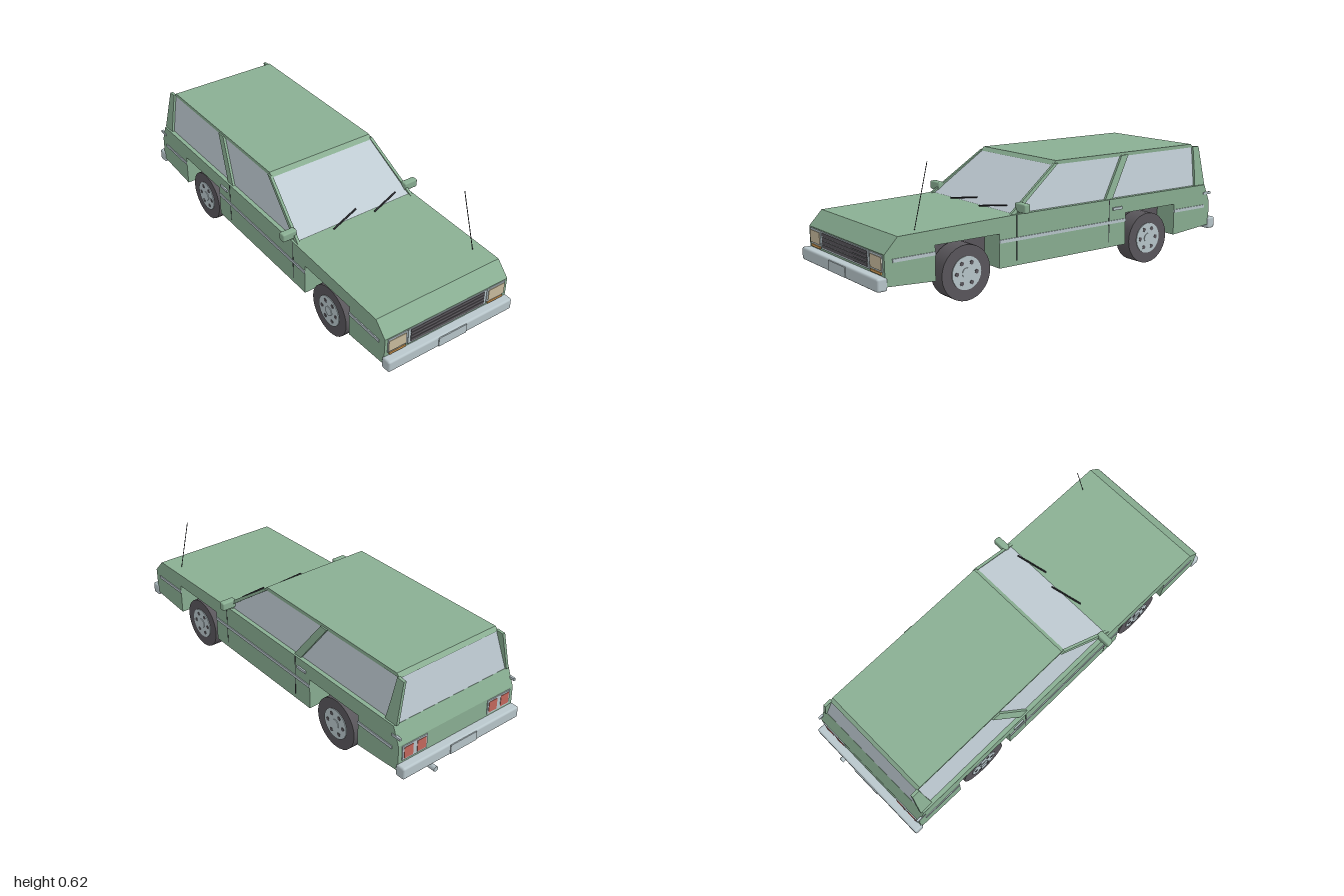
import * as THREE from 'three';
import { RoundedBoxGeometry } from 'three/addons/geometries/RoundedBoxGeometry.js';

const mat = (name, color) => {
  const m = new THREE.MeshStandardMaterial({ color });
  m.name = name;
  return m;
};

export function createModel() {
  const car = new THREE.Group();
  car.name = 'stationWagon';
  const green = mat('green paint', 0x8aaf93);
  const glass = mat('window glass', 0xc0ccd4);
  const chrome = mat('chrome', 0xb9c7cc);
  const dark = mat('dark rubber', 0x5a575c);
  const black = mat('black trim', 0x303035);
  const cream = mat('headlight lens', 0xcbbd9f);
  const amber = mat('indicator amber', 0xcf9a55);
  const red = mat('tail light red', 0xc4685e);

  const add = (name, geo, material, x = 0, y = 0, z = 0, parent = car) => {
    const m = new THREE.Mesh(geo, material);
    m.name = name;
    m.position.set(x, y, z);
    parent.add(m);
    return m;
  };
  const box = (name, material, w, h, d, x, y, z, parent) =>
    add(name, new THREE.BoxGeometry(w, h, d), material, x, y, z, parent);
  // side profile given as [z, y] points, extruded over the width and centred on x = 0
  const profile = (pts, width) => {
    const g = new THREE.ExtrudeGeometry(
      new THREE.Shape(pts.map(p => new THREE.Vector2(...p))), { depth: width, bevelEnabled: false });
    return g.translate(0, 0, -width / 2).rotateY(-Math.PI / 2);
  };
  // thin rod between two points
  const rod = (name, material, a, b, r) => {
    const va = new THREE.Vector3(...a), vb = new THREE.Vector3(...b);
    const dir = vb.clone().sub(va);
    const mid = va.add(vb).multiplyScalar(0.5);
    const m = add(name, new THREE.CylinderGeometry(r, r, dir.length(), 6), material, mid.x, mid.y, mid.z);
    m.quaternion.setFromUnitVectors(new THREE.Vector3(0, 1, 0), dir.normalize());
  };

  // lower body with square wheel notches
  add('body', profile([
    [0.955, 0.135], [0.957, 0.27], [0.893, 0.337], [0.30, 0.35], [-0.907, 0.35],
    [-0.942, 0.265], [-0.945, 0.14], [-0.69, 0.12], [-0.69, 0.275], [-0.36, 0.275],
    [-0.36, 0.12], [0.385, 0.12], [0.385, 0.275], [0.715, 0.275], [0.715, 0.12],
  ], 0.68), green);
  for (const z of [0.55, -0.525])
    box('wheelWell', dark, 0.45, 0.154, 0.329, 0, 0.199, z);

  // glass cabin tapering towards the roof
  const cabin = new THREE.BoxGeometry(1, 1, 1);
  const cp = cabin.attributes.position;
  for (let i = 0; i < cp.count; i++) {
    const top = cp.getY(i) > 0, front = cp.getZ(i) > 0;
    cp.setXYZ(i, Math.sign(cp.getX(i)) * (top ? 0.281 : 0.32), top ? 0.542 : 0.345,
      front ? (top ? 0.035 : 0.305) : (top ? -0.868 : -0.907));
  }
  cabin.computeVertexNormals();
  add('windows', cabin, glass);
  add('roof', profile([[0.045, 0.539], [0.025, 0.557], [-0.855, 0.557], [-0.872, 0.54]], 0.57), green);

  // pillars follow the lean of the side windows
  const pillars = {
    frontPillar: [[0.325, 0.345], [0.04, 0.545], [0.018, 0.545], [0.295, 0.345]],
    middlePillar: [[-0.235, 0.345], [-0.28, 0.345], [-0.418, 0.545], [-0.375, 0.545]],
    rearPillar: [[-0.845, 0.345], [-0.915, 0.35], [-0.905, 0.542], [-0.865, 0.545], [-0.855, 0.43]],
  };
  for (const side of [1, -1]) {
    for (const [name, pts] of Object.entries(pillars)) {
      const g = profile(pts, 0.014);
      const p = g.attributes.position;
      for (let i = 0; i < p.count; i++)
        p.setX(i, p.getX(i) + side * (0.325 - (p.getY(i) - 0.345) * 0.2));
      g.computeVertexNormals();
      add(name, g, green);
    }

    // side trim, door seams and handles
    for (const [a, b] of [[0.92, 0.715], [0.385, -0.36], [-0.69, -0.905]])
      box('sideTrim', chrome, 0.006, 0.015, a - b, side * 0.341, 0.24, (a + b) / 2);
    for (const z of [0.29, -0.255])
      box('doorSeam', black, 0.002, 0.205, 0.004, side * 0.34, 0.245, z);
    box('doorHandle', chrome, 0.01, 0.013, 0.06, side * 0.342, 0.303, -0.305);
    box('rearCornerTrim', chrome, 0.01, 0.012, 0.05, side * 0.338, 0.305, -0.925);

    // mirror on a short stalk
    add('mirror', new RoundedBoxGeometry(0.075, 0.041, 0.034, 2, 0.007), green, side * 0.347, 0.378, 0.265);
    box('mirrorStalk', green, 0.013, 0.03, 0.018, side * 0.324, 0.357, 0.265);

    // headlight, indicator and tail light clusters
    box('headlightFrame', chrome, 0.104, 0.072, 0.006, side * 0.273, 0.23, 0.957);
    box('headlight', cream, 0.092, 0.056, 0.006, side * 0.276, 0.229, 0.960);
    box('indicator', amber, 0.086, 0.011, 0.008, side * 0.273, 0.187, 0.958);
    box('tailLightFrame', chrome, 0.14, 0.072, 0.008, side * 0.25, 0.222, -0.943);
    for (const x of [0.213, 0.286])
      box('tailLight', red, 0.05, 0.056, 0.008, side * x, 0.222, -0.945);

    // wheels
    for (const z of [0.55, -0.525]) {
      const wheel = new THREE.Group();
      wheel.name = 'wheel';
      wheel.position.set(side * 0.28, 0.125, z);
      wheel.rotation.y = side > 0 ? 0 : Math.PI;
      car.add(wheel);
      const disc = (name, r, w, material, x, y = 0, dz = 0, n = 28) =>
        add(name, new THREE.CylinderGeometry(r, r, w, n).rotateZ(Math.PI / 2), material, x, y, dz, wheel);
      disc('tire', 0.125, 0.089, dark, 0);
      disc('hubcap', 0.075, 0.006, chrome, 0.045);
      disc('hubCentre', 0.024, 0.008, chrome, 0.047);
      for (let i = 0; i < 6; i++) {
        const a = i * Math.PI / 3;
        disc('hubHole', 0.01, 0.004, dark, 0.0475, Math.sin(a) * 0.051, Math.cos(a) * 0.051, 8);
      }
    }
  }

  // grille with four slats
  box('grillePanel', chrome, 0.436, 0.08, 0.006, 0, 0.226, 0.957);
  for (let i = 0; i < 4; i++)
    box('grilleSlat', dark, 0.41, 0.0145, 0.006, 0, 0.2535 - i * 0.0175, 0.9595);

  // bumpers and plates
  for (const [z, out] of [[0.971, 1], [-0.96, -1]]) {
    add('bumper', new RoundedBoxGeometry(0.692, 0.058, 0.05, 2, 0.01), chrome, 0, 0.147, z);
    box('plate', chrome, 0.155, 0.046, 0.006, 0, 0.147, z + out * 0.026);
  }

  // wipers, antenna and exhaust
  for (const x of [-0.137, 0.096])
    rod('wiper', black, [x, 0.354, 0.322], [x + 0.155, 0.376, 0.28], 0.004);
  rod('antenna', black, [0.288, 0.335, 0.783], [0.277, 0.618, 0.708], 0.0018);
  rod('exhaust', chrome, [0.172, 0.099, -0.83], [0.172, 0.099, -1.0], 0.013);
  return car;
}
